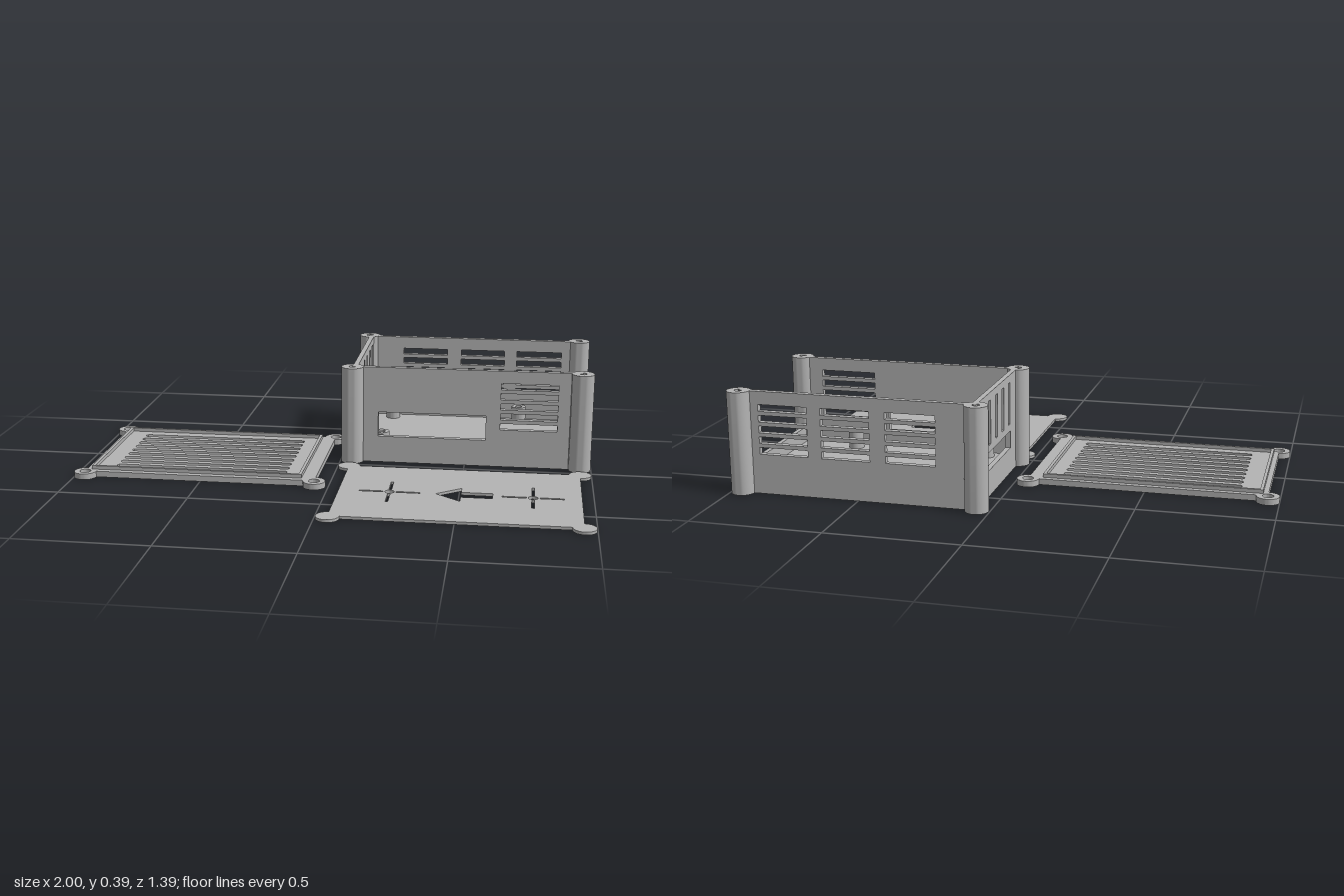
import * as THREE from 'three';
import { toCreasedNormals } from 'three/addons/utils/BufferGeometryUtils.js';

const plastic = new THREE.MeshStandardMaterial({ color: 0xb4b4b4 });
plastic.name = 'grey plastic';

// Outlines, all in 2D
const poly = pts => new THREE.Shape(pts.map(p => new THREE.Vector2(p[0], p[1])));
const rect = (x0, y0, x1, y1) => poly([[x0, y0], [x1, y0], [x1, y1], [x0, y1]]);
const circle = (x, y, r) => new THREE.Shape().absarc(x, y, r, 0, Math.PI * 2);
function slot(x0, x1, y, r) {
  const s = new THREE.Shape();
  s.absarc(x1 - r, y, r, -Math.PI / 2, Math.PI / 2);
  s.absarc(x0 + r, y, r, Math.PI / 2, Math.PI * 1.5);
  s.closePath();
  return s;
}
// Rectangle with a round lug on each corner
function lugged(x0, y0, x1, y1, r) {
  const s = new THREE.Shape();
  [[x0, y0], [x1, y0], [x1, y1], [x0, y1]].forEach(([x, y], i) => {
    const a = (i + 1) * Math.PI / 2;
    s.absarc(x, y, r, a, a + Math.PI * 1.5);
  });
  s.closePath();
  return s;
}
// Round hole with a narrow tail towards -x
function keyhole(x, y, r, w, tail) {
  const a = Math.asin(w / r), s = new THREE.Shape();
  s.absarc(x, y, r, -Math.PI + a, Math.PI - a);
  s.absarc(x - tail, y, w, Math.PI / 2, Math.PI * 1.5);
  s.closePath();
  return s;
}

function extrude(shape, holes, depth) {
  shape.holes.push(...holes);
  return new THREE.ExtrudeGeometry(shape, { depth, bevelEnabled: false, curveSegments: 16 });
}
function add(group, name, geo) {
  const mesh = new THREE.Mesh(toCreasedNormals(geo, 0.6), plastic);
  mesh.name = name;
  group.add(mesh);
  return mesh;
}
// Horizontal plate: outline (x, -z), from y0 up to y1
const slab = (g, name, shape, holes, y0, y1) =>
  add(g, name, extrude(shape, holes, y1 - y0).rotateX(-Math.PI / 2).translate(0, y0, 0));
// Wall facing z: outline (x, y); wall facing x: outline (-z, y)
const wallZ = (g, name, shape, holes, z0, z1) =>
  add(g, name, extrude(shape, holes, z1 - z0).translate(0, 0, z0));
const wallX = (g, name, shape, holes, x0, x1) =>
  add(g, name, extrude(shape, holes, x1 - x0).rotateY(Math.PI / 2).translate(x0, 0, 0));

function vents(x0, x1) {
  return Array.from({ length: 5 }, (_, i) => rect(x0, 0.152 + i * 0.041, x1, 0.178 + i * 0.041));
}

function buildBox() {
  const g = new THREE.Group();
  g.name = 'box';
  const L = 0.048, R = 0.954, F = -0.05, B = -0.65, H = 0.392;

  // Floor: lower layer with keyholes and screw recesses, upper layer closes the keyholes
  const mounts = [[0.16, 0.583], [0.706, 0.583], [0.16, 0.12], [0.706, 0.12]];
  const keys = [0.238, 0.775].map(x => keyhole(x + 0.095, 0.35, 0.036, 0.017, 0.085));
  slab(g, 'lowerFloor', rect(L, -F, R, -B),
    [...keys, ...mounts.map(([x, y]) => circle(x, y, 0.026))], 0, 0.022);
  slab(g, 'upperFloor', rect(L, -F, R, -B),
    mounts.map(([x, y]) => circle(x, y, 0.014)), 0.022, 0.042);
  for (const [x, y] of mounts)
    slab(g, 'standoff', circle(x, y, 0.03), [circle(x, y, 0.014)], 0.042, 0.11);

  // Walls
  wallZ(g, 'frontWall', rect(L, 0, R, H),
    [rect(0.152, 0.107, 0.581, 0.208), ...vents(0.638, 0.862)], F - 0.023, F);
  wallZ(g, 'backWall', rect(L, 0, R, H),
    [...vents(0.2, 0.39), ...vents(0.45, 0.637), ...vents(0.69, 0.88)], B, B + 0.023);
  const tall = Array.from({ length: 5 }, (_, i) =>
    rect(0.177 + i * 0.093, 0.196, 0.203 + i * 0.093, 0.363));
  wallX(g, 'slottedEndWall', rect(-F, 0, -B, H),
    [rect(0.177, 0.1, 0.516, 0.168), ...tall], L, L + 0.02);
  wallX(g, 'lowEndWall', rect(-F, 0, -B, 0.103), [], R - 0.018, R);

  // Corner posts with blind screw holes
  const profile = [[0, 0], [0.044, 0], [0.044, H], [0.014, H], [0.014, 0.2], [0, 0.2]]
    .map(p => new THREE.Vector2(p[0], p[1]));
  for (const x of [L, R]) for (const z of [F, B])
    add(g, 'cornerPost', new THREE.LatheGeometry(profile, 32)).position.set(x, 0, z);
  return g;
}

function buildLid() {
  const g = new THREE.Group();
  g.name = 'lid';
  const L = -0.957, R = -0.054, Z = 0.3;
  const holes = [];
  for (const x of [L, R]) for (const y of [-Z, Z]) holes.push(circle(x, y, 0.021));
  for (let i = 0; i < 9; i++) holes.push(slot(-0.855, -0.174, 0.209 - i * 0.0523, 0.013));
  slab(g, 'lidPanel', lugged(L, -Z, R, Z, 0.043), holes, 0, 0.023);
  // Raised locating rim
  slab(g, 'lidRim', rect(-0.938, -0.275, -0.107, 0.278),
    [rect(-0.926, -0.263, -0.119, 0.266)], 0.023, 0.037);
  return g;
}

function buildTemplate() {
  const g = new THREE.Group();
  g.name = 'drillingTemplate';
  const c = -0.352, holes = [];
  // Crosshair cut-outs
  for (const x of [0.241, 0.775]) {
    holes.push(circle(x, c, 0.018));
    for (const s of [-1, 1]) {
      const near = s * 0.025, far = s * 0.115, w = 0.005;
      holes.push(rect(x + near, c - w * s, x + far, c + w * s));
      holes.push(rect(x - w * s, c + near, x + w * s, c + far));
    }
  }
  // Arrow cut-out
  holes.push(poly([[0.414, c], [0.508, c - 0.075], [0.508, c - 0.028], [0.626, c - 0.028],
    [0.626, c + 0.028], [0.508, c + 0.028], [0.508, c + 0.075]]));
  slab(g, 'templatePlate', lugged(0.048, -0.649, 0.955, -0.05, 0.043), holes, 0, 0.011);
  return g;
}

export function createModel() {
  const model = new THREE.Group();
  model.name = 'electronicsEnclosureKit';
  model.add(buildBox(), buildLid(), buildTemplate());
  return model;
}
